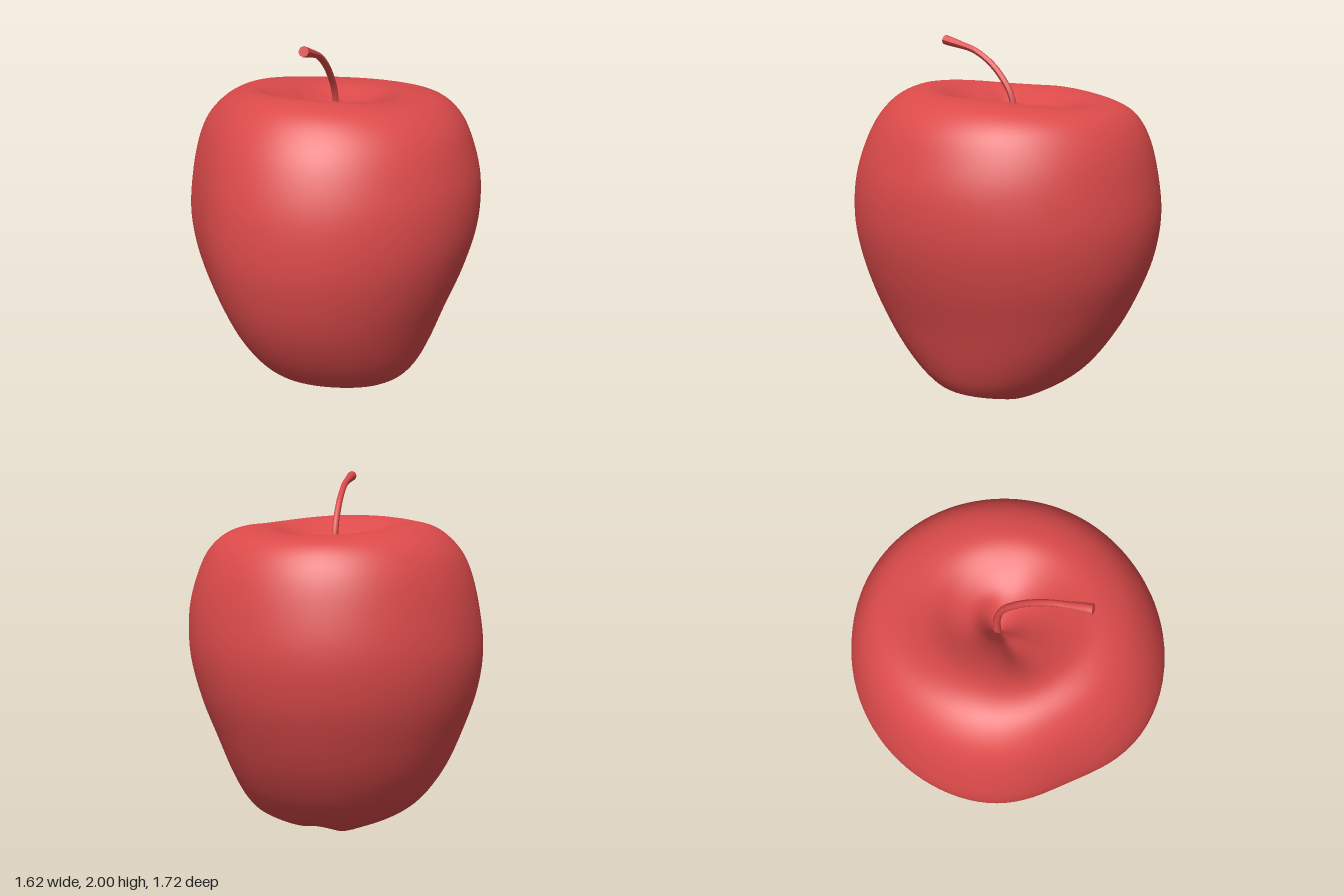
import * as THREE from 'three';

const SEGMENTS = 96, RINGS = 90;

// Profiles (radius, height) from the bottom pole to the top pole, one per side
const dimple = (rimY) => [[0.27, rimY - 0.045], [0.14, 1.57], [0.05, 1.46], [0, 1.38]];
const profile = (points, rimY) =>
  new THREE.SplineCurve([[0, 0.13], ...points, ...dimple(rimY)].map(([r, y]) => new THREE.Vector2(r, y)));

const leftSide = profile([[0.08, 0.07], [0.22, 0.035], [0.42, 0.09], [0.5, 0.16], [0.57, 0.3], [0.65, 0.52],
  [0.74, 0.76], [0.8, 1.0], [0.805, 1.23], [0.76, 1.42], [0.69, 1.57], [0.57, 1.67], [0.41, 1.7]], 1.7);
const rightSide = profile([[0.06, 0.05], [0.17, 0.01], [0.3, 0.06], [0.48, 0.18], [0.62, 0.37], [0.72, 0.6],
  [0.79, 0.82], [0.815, 1.03], [0.79, 1.25], [0.74, 1.45], [0.67, 1.58], [0.55, 1.68], [0.41, 1.71]], 1.71);
const frontSide = profile([[0.08, 0.08], [0.2, 0.065], [0.35, 0.1], [0.5, 0.2], [0.65, 0.38], [0.77, 0.6],
  [0.84, 0.83], [0.862, 1.03], [0.84, 1.25], [0.77, 1.46], [0.68, 1.61], [0.57, 1.71], [0.43, 1.745]], 1.72);
const backSide = profile([[0.06, 0.05], [0.17, 0.02], [0.34, 0.09], [0.5, 0.22], [0.65, 0.43], [0.76, 0.65],
  [0.83, 0.85], [0.858, 1.07], [0.83, 1.3], [0.78, 1.48], [0.7, 1.6], [0.59, 1.645], [0.41, 1.645]], 1.645);

// Smooth bump around an angle
const bump = (angle, centre, width) => {
  const d = Math.atan2(Math.sin(angle - centre), Math.cos(angle - centre));
  return Math.exp(-((d / width) ** 2));
};

function createBodyGeometry() {
  const positions = [], indices = [];
  for (let i = 0; i <= RINGS; i++) {
    const t = i / RINGS;
    const [l, r, f, b] = [leftSide, rightSide, frontSide, backSide].map((c) => c.getPoint(t));
    // The hollows sit slightly off the axis
    const bottom = 1 - THREE.MathUtils.smoothstep(t, 0, 0.2);
    const top = THREE.MathUtils.smoothstep(t, 0.76, 1);
    for (let j = 0; j < SEGMENTS; j++) {
      const a = (j / SEGMENTS) * Math.PI * 2, c = Math.cos(a), s = Math.sin(a);
      const p = (c > 0 ? l : r).clone().lerp(s > 0 ? f : b, s * s);
      // Flattened front right flank
      const flank = bump(a, 2.4, 0.42) * Math.sin(Math.PI * Math.min(t / 0.8, 1));
      const radius = p.x * (1 - 0.085 * flank);
      // Folds around the bottom hollow and a soft crease in the top one
      const fold = 0.015 * Math.cos(5 * a + 0.6) * Math.exp(-(((t - 0.1) / 0.06) ** 2));
      const crease = 0.04 * bump(a, 2.6, 0.3) * Math.exp(-(((t - 0.86) / 0.06) ** 2));
      positions.push(radius * c + 0.03 * bottom, Math.max(0, p.y + fold - crease), radius * s - 0.05 * top);
      if (i === RINGS) continue;
      const k = i * SEGMENTS + j, n = i * SEGMENTS + ((j + 1) % SEGMENTS);
      if (i < RINGS - 1) indices.push(k, k + SEGMENTS, n + SEGMENTS);
      else indices.push(k, k + SEGMENTS, n);
      if (i > 0 && i < RINGS - 1) indices.push(k, n + SEGMENTS, n);
    }
  }
  const geometry = new THREE.BufferGeometry();
  geometry.setAttribute('position', new THREE.Float32BufferAttribute(positions, 3));
  geometry.setIndex(indices);
  geometry.computeVertexNormals();
  return geometry;
}

function createStem(material) {
  const path = new THREE.CatmullRomCurve3([[1.36, -0.055], [1.55, -0.055], [1.69, -0.025], [1.77, 0.025],
    [1.85, 0.1], [1.92, 0.21], [1.95, 0.31], [1.975, 0.41]].map(([y, z]) => new THREE.Vector3(0, y, z)));
  const steps = 28, sides = 8;
  const geometry = new THREE.TubeGeometry(path, steps, 0.018, sides, false);
  // Flare both ends of the stem
  const pos = geometry.attributes.position, v = new THREE.Vector3();
  for (let i = 0; i < pos.count; i++) {
    const t = Math.floor(i / (sides + 1)) / steps, centre = path.getPointAt(t);
    const scale = 1 + 0.5 * THREE.MathUtils.smoothstep(t, 0.8, 1) + 0.3 * (1 - THREE.MathUtils.smoothstep(t, 0, 0.3));
    v.fromBufferAttribute(pos, i).sub(centre).multiplyScalar(scale).add(centre);
    pos.setXYZ(i, v.x, v.y, v.z);
  }
  geometry.computeVertexNormals();
  const stem = new THREE.Group();
  stem.name = 'stem';
  const stalk = new THREE.Mesh(geometry, material);
  stalk.name = 'stalk';
  const tip = new THREE.Mesh(new THREE.CircleGeometry(0.027, sides), material);
  tip.name = 'stemTip';
  tip.position.copy(path.getPointAt(1));
  tip.quaternion.setFromUnitVectors(new THREE.Vector3(0, 0, 1), path.getTangentAt(1));
  stem.add(stalk, tip);
  return stem;
}

export function createModel() {
  const group = new THREE.Group();
  group.name = 'apple';
  const material = new THREE.MeshStandardMaterial({ color: 0xdc4a4a });
  const body = new THREE.Mesh(createBodyGeometry(), material);
  body.name = 'appleBody';
  group.add(body, createStem(material));
  return group;
}
